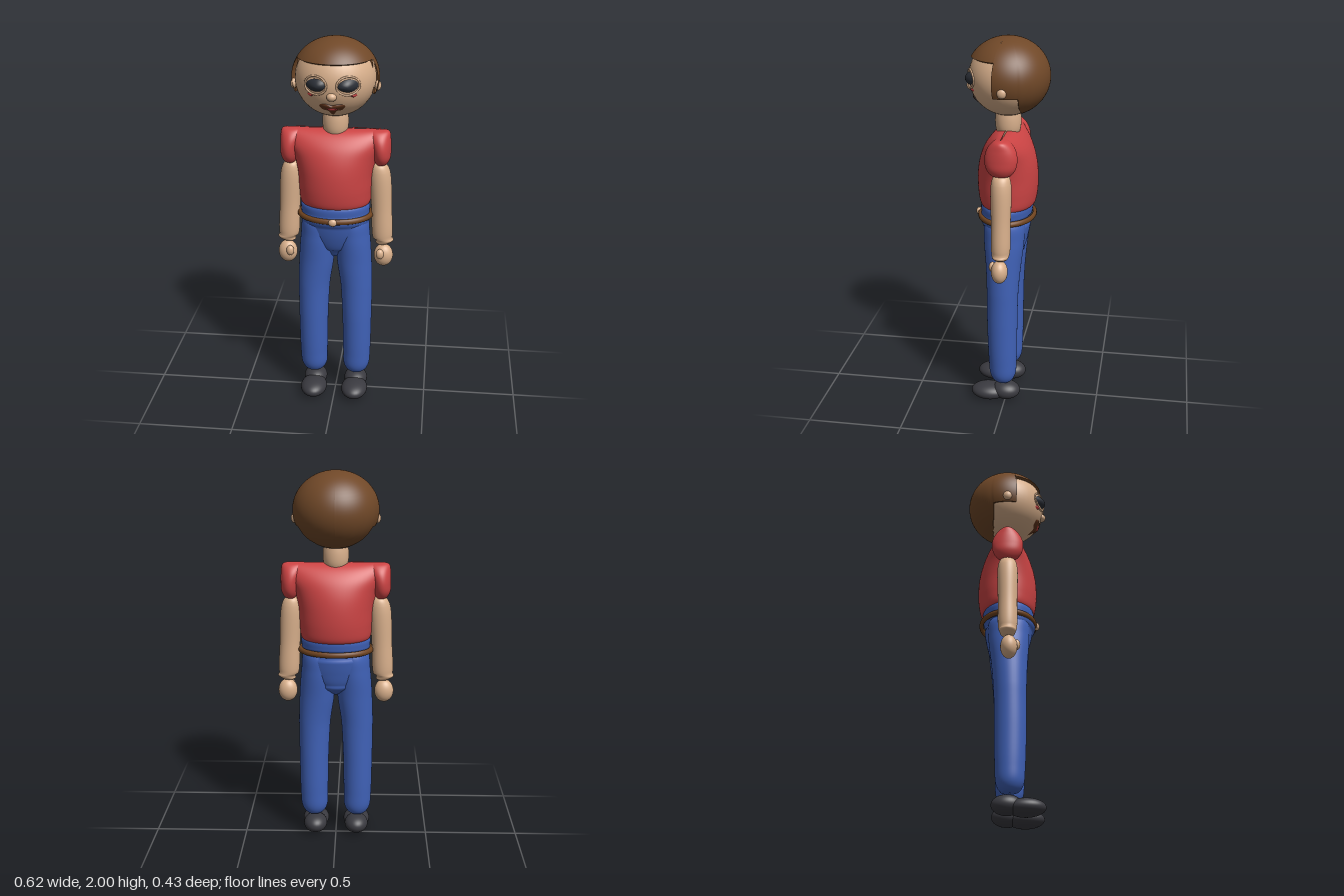
import * as THREE from 'three';

const mat = (name, color, side = THREE.FrontSide) => {
  const m = new THREE.MeshStandardMaterial({ color, side });
  m.name = name;
  return m;
};
const V = (x, y, z) => new THREE.Vector3(x, y, z);

// Head ellipsoid, shared by the face details
const HEAD = { y: 1.797, rx: 0.205, ry: 0.197, rz: 0.2 };
const faceZ = (x, y) =>
  HEAD.rz * Math.sqrt(Math.max(0, 1 - (x / HEAD.rx) ** 2 - ((y - HEAD.y) / HEAD.ry) ** 2));

function gridGeometry(pos, index) {
  const g = new THREE.BufferGeometry();
  g.setAttribute('position', new THREE.Float32BufferAttribute(pos, 3));
  g.setIndex(index);
  g.computeVertexNormals();
  return g;
}

// Smooth elliptical loft; sections run bottom to top as [y, rx, rz, cx, cz]
function loft(sections, rows = 48, n = 40) {
  const size = new THREE.CatmullRomCurve3(sections.map(s => V(s[1], s[0], s[2])));
  const mid = new THREE.CatmullRomCurve3(sections.map(s => V(s[3] || 0, 0, s[4] || 0)));
  const pos = [], index = [];
  for (let i = 0; i <= rows; i++) {
    const r = size.getPoint(i / rows), c = mid.getPoint(i / rows);
    for (let j = 0; j < n; j++) {
      const a = (j / n) * Math.PI * 2;
      pos.push(c.x + r.x * Math.cos(a), r.y, c.z + r.z * Math.sin(a));
      if (i === rows) continue;
      const p = i * n + j, q = i * n + ((j + 1) % n);
      index.push(p, p + n, q, q, p + n, q + n);
    }
  }
  return gridGeometry(pos, index);
}

// Low dome following the face, with a smooth outline given anticlockwise around (cx, cy)
function facePatch(cx, cy, outline, height, n = 48, rings = 6) {
  const curve = new THREE.CatmullRomCurve3(outline.map(p => V(p[0], p[1], 0)), true);
  const pos = [cx, cy, faceZ(cx, cy) + height + 0.002], index = [];
  for (let r = 1; r <= rings; r++) {
    const t = r / rings;
    for (let j = 0; j < n; j++) {
      const p = curve.getPoint(j / n), x = cx + p.x * t, y = cy + p.y * t;
      pos.push(x, y, faceZ(x, y) + 0.002 + height * (1 - t * t));
      const k = (j + 1) % n, o = 1 + (r - 1) * n, i = o - n;
      if (r === 1) index.push(0, o + j, o + k);
      else index.push(i + j, o + j, o + k, i + j, o + k, i + k);
    }
  }
  return gridGeometry(pos, index);
}

// Hair cap: short fringe, straight sides and a full back, with a rim down to the scalp
function hairGeometries() {
  const rows = 28, cut = 1.33, cols = [];
  const ranges = [[-Math.PI, -cut, 34], [-cut, cut, 40], [cut, Math.PI, 34]];
  ranges.forEach(([a, b, n], part) => {
    for (let i = 0; i <= n; i++) {
      const phi = a + ((b - a) * i) / n;
      let end = 1.047;
      if (part !== 1) {
        const back = Math.min(1, 0.078 / (0.215 * Math.abs(Math.cos(phi))));
        const low = Math.PI - Math.asin(back);
        end = low > 1.955 ? low + 0.035 * Math.sin(phi * 22) * Math.sin(phi) : 1.955;
      }
      cols.push({ phi, end });
    }
  });
  const point = (phi, th, s) => [
    0.222 * s * Math.sin(phi) * Math.sin(th),
    1.8 + 0.2 * s * Math.cos(th),
    0.215 * s * Math.cos(phi) * Math.sin(th)];
  const pos = [], index = [], rimPos = [], rimIndex = [];
  cols.forEach(({ phi, end }, c) => {
    for (let r = 0; r <= rows; r++) pos.push(...point(phi, (end * r) / rows, 1));
    rimPos.push(...point(phi, end, 1), ...point(phi, end, 0.9));
    if (c === cols.length - 1) return;
    rimIndex.push(2 * c, 2 * c + 1, 2 * c + 2, 2 * c + 2, 2 * c + 1, 2 * c + 3);
    if (cols[c + 1].phi === phi) return;
    for (let r = 0; r < rows; r++) {
      const p = c * (rows + 1) + r, q = p + rows + 1;
      index.push(p, p + 1, q, q, p + 1, q + 1);
    }
  });
  return [gridGeometry(pos, index), gridGeometry(rimPos, rimIndex)];
}

export function createModel() {
  const root = new THREE.Group();
  root.name = 'standingMan';
  const skin = mat('skin', 0xd9b08c);
  const hair = mat('hairBrown', 0x704828, THREE.DoubleSide);
  const red = mat('shirtRed', 0xcc4444);
  const blue = mat('trouserBlue', 0x4062b8);
  const dark = mat('shoeDark', 0x3a3a40);
  const eyeDark = mat('eyeDark', 0x2c3038);
  const leather = mat('beltBrown', 0x704420);
  const beard = mat('beardBrown', 0x62361c);

  const add = (name, geometry, material) => {
    const m = new THREE.Mesh(geometry, material);
    m.name = name;
    root.add(m);
    return m;
  };
  const ball = (name, material, p, r) => {
    const m = add(name, new THREE.SphereGeometry(1, 40, 28), material);
    m.position.set(...p);
    m.scale.set(...r);
    return m;
  };

  // Head, neck and hair
  ball('head', skin, [0, HEAD.y, 0], [HEAD.rx, HEAD.ry, HEAD.rz]);
  add('neck', loft([[1.49, 0.05, 0.05], [1.53, 0.064, 0.064], [1.58, 0.067, 0.067],
    [1.64, 0.06, 0.06]], 16), skin);
  const [cap, rim] = hairGeometries();
  add('hair', cap, hair);
  add('hairRim', rim, hair);
  ball('nose', skin, [0, 1.742, 0.192], [0.025, 0.021, 0.022]);

  // Moustache with pointed beard, and lips
  add('moustache', facePatch(0, 1.682, [[0.064, 0.012], [0.03, 0.02], [0, 0.013], [-0.03, 0.02],
    [-0.064, 0.012], [-0.05, -0.014], [-0.022, -0.022], [0, -0.05], [0.022, -0.022],
    [0.05, -0.014]], 0.012), beard);
  const lips = add('lips', facePatch(0, 1.674, [[0.032, 0.003], [0, 0.007], [-0.032, 0.003],
    [0, -0.007]], 0.004), red);
  lips.position.z = 0.011;

  // Shirt body
  add('shirt', loft([[1.118, 0.01, 0.01], [1.12, 0.165, 0.125], [1.135, 0.182, 0.142],
    [1.2, 0.19, 0.155], [1.3, 0.197, 0.156], [1.38, 0.215, 0.143], [1.45, 0.25, 0.115],
    [1.5, 0.27, 0.075], [1.523, 0.27, 0.04], [1.53, 0.25, 0.004]], 72, 56), red);

  // Trouser seat
  add('trouserSeat', loft([[0.81, 0.01, 0.01], [0.83, 0.05, 0.045], [0.88, 0.12, 0.088],
    [0.95, 0.165, 0.112, 0, 0.004], [1.02, 0.178, 0.127, 0, 0.006],
    [1.08, 0.18, 0.134, 0, 0.006], [1.13, 0.178, 0.134, 0, 0.004],
    [1.14, 0.01, 0.01]], 56, 48), blue);

  // Belt and buckle
  const belt = add('belt', new THREE.TorusGeometry(1, 0.075, 14, 72), leather);
  belt.rotation.x = Math.PI / 2;
  belt.scale.set(0.187, 0.143, 0.2);
  belt.position.set(0, 1.065, 0.004);
  ball('buckle', skin, [0, 1.065, 0.156], [0.022, 0.02, 0.015]);

  for (const s of [1, -1]) {
    const side = s > 0 ? 'left' : 'right';

    // Eye with lid ring and cheek dot
    const ex = s * 0.08, ey = 1.795;
    add(side + 'Eye', facePatch(ex, ey, [[0.048, -0.004], [0.044, 0.018], [0.02, 0.033],
      [-0.012, 0.033], [-0.042, 0.016], [-0.048, -0.006], [-0.022, -0.024],
      [0.022, -0.026]], 0.02), eyeDark);
    const ringPoints = Array.from({ length: 16 }, (_, i) => {
      const a = (i / 16) * Math.PI * 2;
      const x = ex + 0.055 * Math.cos(a), y = ey + 0.002 + 0.046 * Math.sin(a);
      return V(x, y, faceZ(x, y) + 0.002);
    });
    add(side + 'EyeRing', new THREE.TubeGeometry(
      new THREE.CatmullRomCurve3(ringPoints, true), 48, 0.005, 8, true), skin);
    add(side + 'CheekDot', facePatch(s * 0.107, 1.747, [[0.016, 0], [0, 0.01], [-0.016, 0],
      [0, -0.01]], 0.008, 20, 3), red);
    ball(side + 'Ear', skin, [s * 0.212, 1.757, 0], [0.018, 0.026, 0.024]);

    // Sleeve
    add(side + 'Sleeve', loft([[1.338, 0.004, 0.004, s * 0.238], [1.346, 0.028, 0.045, s * 0.238],
      [1.38, 0.045, 0.073, s * 0.239], [1.43, 0.051, 0.083, s * 0.236],
      [1.48, 0.057, 0.072, s * 0.228], [1.518, 0.056, 0.042, s * 0.222],
      [1.531, 0.03, 0.004, s * 0.22]], 40), red);

    // Arm, hand and thumb
    add(side + 'Arm', loft([[0.892, 0.004, 0.004, s * 0.25], [0.9, 0.034, 0.032, s * 0.25],
      [0.93, 0.051, 0.046, s * 0.25], [1.1, 0.054, 0.05, s * 0.243],
      [1.3, 0.053, 0.051, s * 0.232], [1.34, 0.036, 0.038, s * 0.229],
      [1.352, 0.004, 0.004, s * 0.228]], 48), skin);
    ball(side + 'Hand', skin, [s * 0.257, 0.832, 0.006], [0.051, 0.062, 0.043]);
    ball(side + 'Thumb', skin, [s * 0.24, 0.85, 0.045], [0.021, 0.028, 0.019]);

    // Trouser leg
    add(side + 'TrouserLeg', loft([[0.117, 0.005, 0.005, s * 0.117, 0.01],
      [0.123, 0.045, 0.045, s * 0.117, 0.01], [0.16, 0.069, 0.068, s * 0.117, 0.011],
      [0.25, 0.075, 0.076, s * 0.119, 0.012], [0.45, 0.079, 0.081, s * 0.119, 0.014],
      [0.65, 0.085, 0.084, s * 0.115, 0.013], [0.8, 0.093, 0.093, s * 0.102, 0.01],
      [0.95, 0.09, 0.106, s * 0.094, 0.007], [1.05, 0.08, 0.1, s * 0.09, 0.006],
      [1.09, 0.01, 0.01, s * 0.09, 0.006]], 72), blue);

    // Shoe: heel and toe
    ball(side + 'ShoeHeel', dark, [s * 0.113, 0.058, -0.004], [0.064, 0.051, 0.078]);
    ball(side + 'ShoeToe', dark, [s * 0.113, 0.046, 0.09], [0.072, 0.046, 0.098]);
  }
  return root;
}
